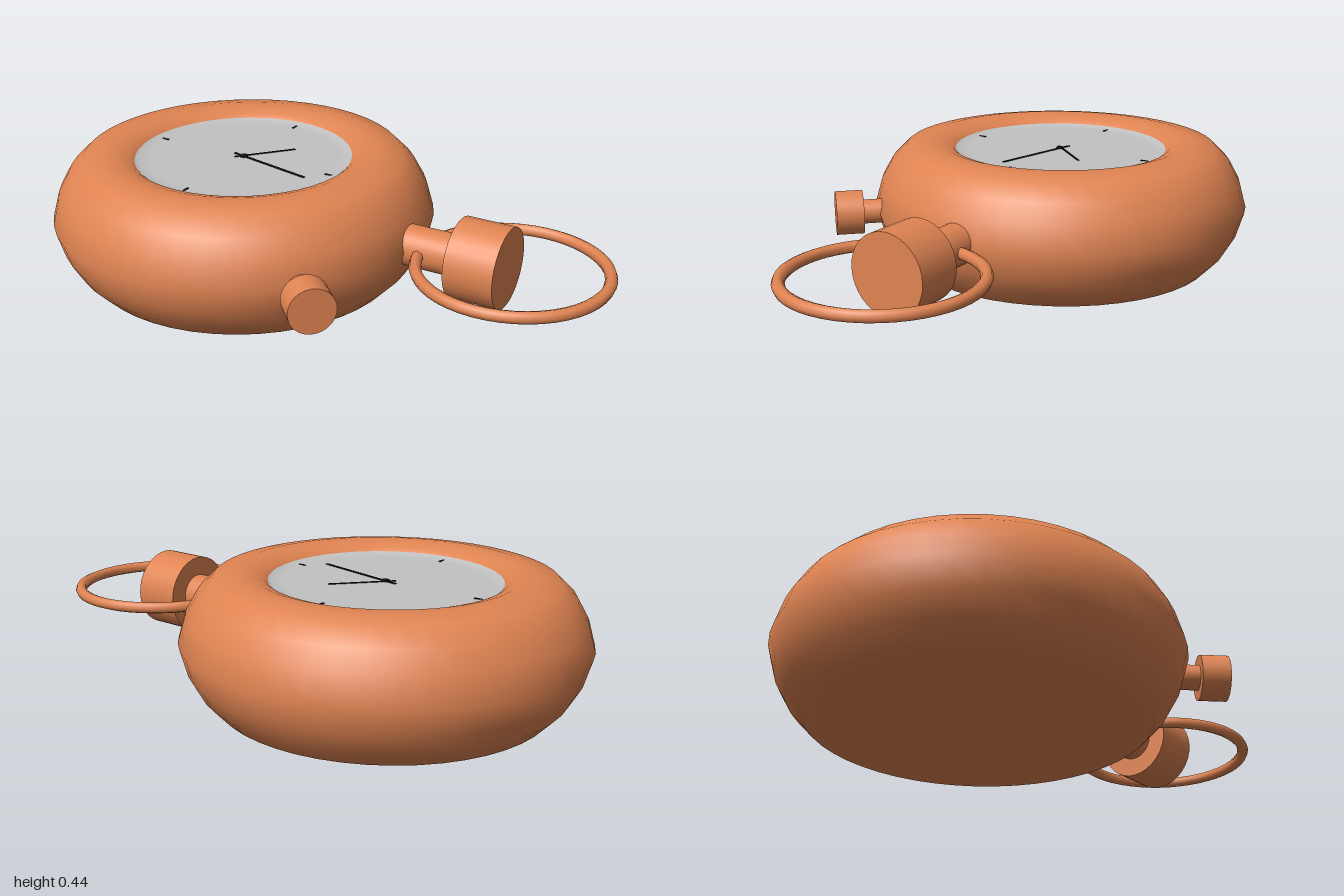
import * as THREE from 'three';

const copper = new THREE.MeshStandardMaterial({ color: 0xe08452 });
copper.name = 'copper';
const dialGrey = new THREE.MeshStandardMaterial({ color: 0xc2c2c2 });
dialGrey.name = 'dial grey';
const black = new THREE.MeshStandardMaterial({ color: 0x141414 });
black.name = 'hand black';

const CX = -0.335, MID = 0.222;

function add(parent, name, geometry, material) {
  const mesh = new THREE.Mesh(geometry, material);
  mesh.name = name;
  parent.add(mesh);
  return mesh;
}

function lathe(points, segments = 48) {
  return new THREE.LatheGeometry(points.map(([r, y]) => new THREE.Vector2(r, y)), segments);
}

// Cylinder lying along local +x, from x0 to x1
function rod(parent, name, radius, x0, x1) {
  const geometry = new THREE.CylinderGeometry(radius, radius, x1 - x0, 32);
  geometry.rotateZ(-Math.PI / 2).translate((x0 + x1) / 2, 0, 0);
  return add(parent, name, geometry, copper);
}

// Thin plate on the dial between two points, measured from the dial centre
function mark(parent, name, x0, z0, x1, z1, width) {
  const dx = x1 - x0, dz = z1 - z0;
  const mesh = add(parent, name, new THREE.BoxGeometry(Math.hypot(dx, dz), 0.003, width), black);
  mesh.position.set((x0 + x1) / 2, 0.406, (z0 + z1) / 2);
  mesh.rotation.y = -Math.atan2(dz, dx);
}

export function createModel() {
  const model = new THREE.Group();
  model.name = 'pocketWatch';

  // Rounded case with a sunken dial
  const watch = new THREE.Group();
  watch.name = 'watch';
  watch.position.x = CX;
  model.add(watch);
  add(watch, 'case', lathe([
    [0, 0], [0.34, 0], [0.45, 0.005], [0.55, 0.013], [0.602, 0.068], [0.64, 0.135],
    [0.665, MID], [0.64, 0.309], [0.602, 0.376], [0.55, 0.427], [0.48, 0.44],
    [0.43, 0.437], [0.39, 0.424], [0.374, 0.41],
  ]), copper);
  add(watch, 'dial', lathe([[0.376, 0.413], [0.36, 0.407], [0.33, 0.405], [0, 0.405]]), dialGrey);

  // Hour marks and hands
  for (let i = 0; i < 4; i++) {
    const c = Math.cos(i * Math.PI / 2), s = Math.sin(i * Math.PI / 2);
    mark(watch, 'hourMark', c * 0.325, s * 0.325, c * 0.352, s * 0.352, 0.007);
  }
  mark(watch, 'minuteHand', -0.045, -0.01, 0.28, 0.06, 0.009);
  mark(watch, 'hourHand', -0.025, 0.02, 0.12, -0.145, 0.007);
  const hub = add(watch, 'handHub', new THREE.CylinderGeometry(0.014, 0.014, 0.006, 16), black);
  hub.position.y = 0.407;

  // Winding crown
  const crown = new THREE.Group();
  crown.name = 'crown';
  crown.position.y = MID;
  model.add(crown);
  rod(crown, 'crownStem', 0.07, 0.2, 0.5);
  rod(crown, 'crownKnob', 0.135, 0.49, 0.657);

  // Small push button at 45 degrees
  const button = new THREE.Group();
  button.name = 'pushButton';
  button.position.set(0.198, MID, 0.48);
  button.rotation.y = -Math.PI / 4;
  model.add(button);
  rod(button, 'buttonStem', 0.042, -0.16, 0.01);
  rod(button, 'buttonCap', 0.076, 0, 0.094);

  // Hanging ring
  const ring = add(model, 'ring',
    new THREE.TorusGeometry(0.305, 0.02, 8, 48).rotateX(Math.PI / 2), copper);
  ring.position.set(0.67, MID, 0);

  return model;
}
